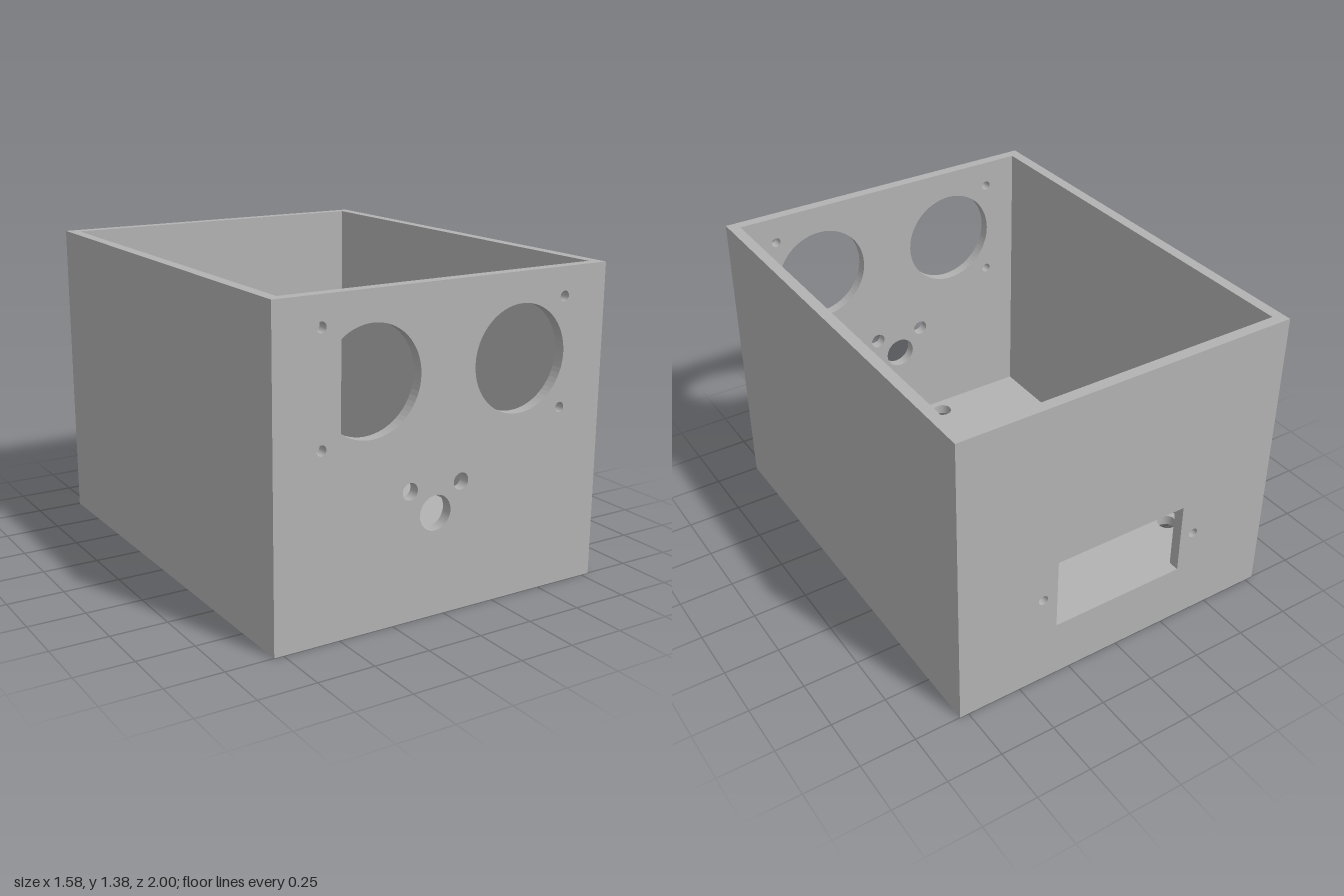
import * as THREE from 'three';
import { mergeGeometries } from 'three/addons/utils/BufferGeometryUtils.js';

const W = 1.58, H = 1.38, D = 2, T = 0.05; // outer size and wall thickness

const rect = (x0, y0, x1, y1) => [[x0, y0], [x1, y0], [x1, y1], [x0, y1]].map(p => new THREE.Vector2(...p));

const circle = (x, y, r, n = 48) => Array.from({ length: n }, (_, i) => {
  const a = (i / n) * Math.PI * 2;
  return new THREE.Vector2(x + r * Math.cos(a), y + r * Math.sin(a));
});

// Flat face with openings, facing +z or (flipped) -z
function face(outline, holes, z = 0, flip = false) {
  const shape = new THREE.Shape(outline);
  shape.holes = holes.map(h => new THREE.Path(h));
  const g = new THREE.ShapeGeometry(shape).translate(0, 0, z);
  if (flip) g.index.array.reverse();
  const flat = g.toNonIndexed();
  flat.deleteAttribute('uv');
  flat.computeVertexNormals();
  return flat;
}

// Inner wall of an opening through the panel thickness
function tunnel(points) {
  const pos = [];
  points.forEach((a, i) => {
    const b = points[(i + 1) % points.length];
    pos.push(a.x, a.y, 0, b.x, b.y, 0, b.x, b.y, -T);
    pos.push(a.x, a.y, 0, b.x, b.y, -T, a.x, a.y, -T);
  });
  const g = new THREE.BufferGeometry();
  g.setAttribute('position', new THREE.Float32BufferAttribute(pos, 3));
  g.computeVertexNormals();
  return g;
}

// Panel skin: outer face, smaller inner face and the openings between them
const panel = (outer, inner, holes = []) => mergeGeometries([
  face(outer, holes), face(inner, holes, -T, true), ...holes.map(tunnel),
]);

export function createModel() {
  const group = new THREE.Group();
  const grey = new THREE.MeshStandardMaterial({ color: 0xb2b2b2 });
  grey.name = 'light grey';
  const add = (name, geometry) => {
    const mesh = new THREE.Mesh(geometry, grey);
    mesh.name = name;
    group.add(mesh);
  };

  const w = W / 2, d = D / 2;
  const endOuter = rect(-w, 0, w, H), endInner = rect(T - w, T, w - T, H);
  const sideOuter = rect(-d, 0, d, H), sideInner = rect(T - d, T, d - T, H);

  // Front: two large round openings, four screw holes, three lower holes
  const frontHoles = [circle(-0.36, 1.023, 0.227, 64), circle(0.355, 1.023, 0.227, 64)];
  for (const x of [-0.582, 0.575]) for (const y of [0.789, 1.257]) frontHoles.push(circle(x, y, 0.022));
  frontHoles.push(circle(-0.174, 0.554, 0.036), circle(0.074, 0.554, 0.036), circle(-0.05, 0.443, 0.075));
  add('frontWall', panel(endOuter, endInner, frontHoles).translate(0, 0, d));

  // Back: socket window with a screw hole on each side
  const backHoles = [rect(-0.32, 0.27, 0.32, 0.61), circle(-0.39, 0.443, 0.022), circle(0.39, 0.443, 0.022)];
  add('backWall', panel(endOuter, endInner, backHoles).rotateY(Math.PI).translate(0, 0, -d));

  // Plain sides
  add('leftWall', panel(sideOuter, sideInner).rotateY(Math.PI / 2).translate(w, 0, 0));
  add('rightWall', panel(sideOuter, sideInner).rotateY(-Math.PI / 2).translate(-w, 0, 0));

  // Floor with four mounting holes, given as x, z
  const floorHoles = [[-0.669, -0.527], [0.661, -0.563], [-0.249, 0.87], [0.521, 0.87]]
    .map(([x, z]) => circle(x, z, 0.046));
  add('floor', panel(rect(-w, -d, w, d), rect(T - w, T - d, w - T, d - T), floorHoles).rotateX(Math.PI / 2));

  // Top rim closing the wall thickness
  add('rim', face(rect(-w, -d, w, d), [rect(T - w, T - d, w - T, d - T)]).rotateX(-Math.PI / 2).translate(0, H, 0));

  return group;
}
